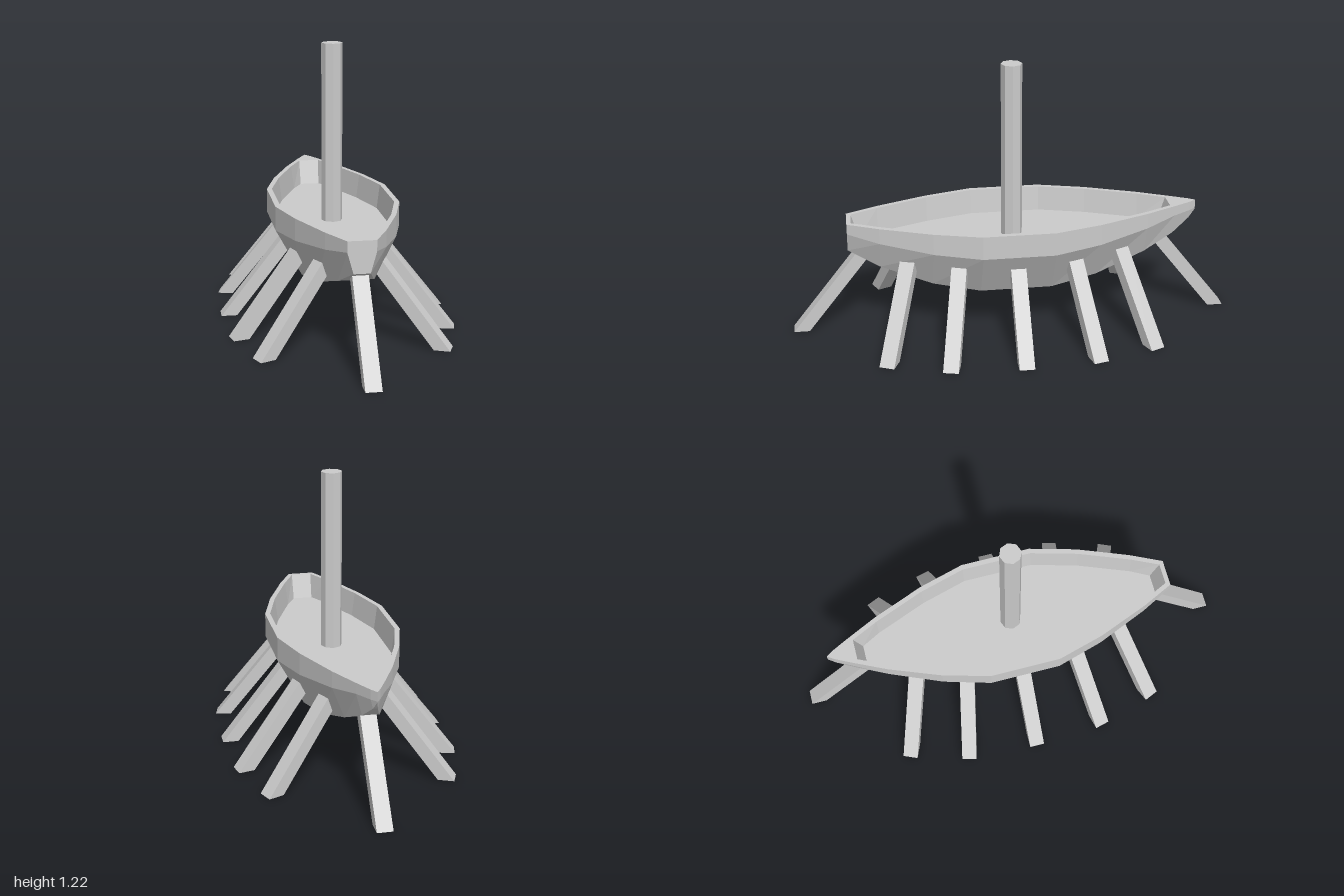
import * as THREE from 'three';

const material = new THREE.MeshStandardMaterial({ color: 0xcccccc, flatShading: true, side: THREE.DoubleSide });

// Hull stations from bow to stern: z, half width, knuckle height, keel height, keel half width
const STATIONS = [
  [-0.85, 0, 0.492, 0.488, 0],
  [-0.82, 0.02, 0.49, 0.45, 0.01],
  [-0.74, 0.06, 0.485, 0.39, 0.035],
  [-0.6, 0.127, 0.46, 0.325, 0.075],
  [-0.37, 0.217, 0.435, 0.25, 0.125],
  [-0.16, 0.275, 0.425, 0.217, 0.16],
  [0.16, 0.275, 0.425, 0.217, 0.16],
  [0.37, 0.217, 0.435, 0.25, 0.125],
  [0.6, 0.127, 0.46, 0.325, 0.075],
  [0.74, 0.06, 0.485, 0.395, 0.035],
];
const RIM = 0.532, FLOOR = 0.42;

function buildMesh(name, polygons) {
  const pos = [];
  for (const p of polygons)
    for (let i = 1; i < p.length - 1; i++) pos.push(...p[0], ...p[i], ...p[i + 1]);
  const geometry = new THREE.BufferGeometry();
  geometry.setAttribute('position', new THREE.Float32BufferAttribute(pos, 3));
  geometry.computeVertexNormals();
  const mesh = new THREE.Mesh(geometry, material);
  mesh.name = name;
  return mesh;
}

// Quads between neighbouring rows of points
function loft(rows) {
  const quads = [];
  for (let i = 0; i < rows.length - 1; i++)
    for (let j = 0; j < rows[i].length - 1; j++)
      quads.push([rows[i][j], rows[i + 1][j], rows[i + 1][j + 1], rows[i][j + 1]]);
  return quads;
}

function createHull() {
  const hull = new THREE.Group();
  hull.name = 'hull';

  // Outer planking with a flat transom and a small deck at the bow
  const outer = STATIONS.map(([z, w, ky, by, bw]) => [
    [w, RIM, z], [w, ky, z], [bw, by, z], [-bw, by, z], [-w, ky, z], [-w, RIM, z],
  ]);
  const last = outer[outer.length - 1];
  const transom = [last[0], last[5], last[4], last[3], last[2], last[1]];
  const bowDeck = loft(outer.slice(0, 3).map((r) => [r[5], r[0]]));
  hull.add(buildMesh('planking', [...loft(outer), transom, ...bowDeck]));

  // Rim, inner walls and floor
  const inner = STATIONS.slice(2).map(([z, w]) => {
    const end = Math.abs(z) > 0.7, s = Math.sign(z);
    const zi = end ? s * 0.72 : z, zf = end ? s * 0.685 : z;
    const wi = end ? 0.047 : w - 0.023, wf = end ? 0.045 : w - 0.037;
    return [[-w, RIM, z], [-wi, RIM, zi], [-wf, FLOOR, zf], [wf, FLOOR, zf], [wi, RIM, zi], [w, RIM, z]];
  });
  const [oL, iL, fL, fR, iR, oR] = inner[0];
  const [pL, jL, gL, gR, jR, pR] = inner[inner.length - 1];
  hull.add(buildMesh('wellAndRim', [
    ...loft(inner),
    [iL, iR, oR, oL], [fL, fR, iR, iL],
    [pL, pR, jR, jL], [gR, gL, jL, jR],
  ]));
  return hull;
}

// Slanted leg with a horizontal foot; x, z mark the middle of the foot's outer edge
function createLeg(name, x, z, degrees) {
  const height = 0.4, depth = 0.07;
  const geometry = new THREE.BoxGeometry(0.068, height, depth);
  geometry.translate(0, height / 2, -depth / 2);
  const p = geometry.attributes.position;
  for (let i = 0; i < p.count; i++) p.setZ(i, p.getZ(i) - 0.785 * p.getY(i));
  geometry.computeVertexNormals();
  const leg = new THREE.Mesh(geometry, material);
  leg.name = name;
  leg.position.set(x, 0, z);
  leg.rotation.y = THREE.MathUtils.degToRad(degrees);
  return leg;
}

export function createModel() {
  const model = new THREE.Group();
  model.name = 'leggedBoat';
  model.add(createHull());

  // Octagonal mast standing on the floor
  const mastHeight = 1.22 - FLOOR;
  const mast = new THREE.Mesh(new THREE.CylinderGeometry(0.047, 0.047, mastHeight, 8), material);
  mast.name = 'mast';
  mast.position.y = FLOOR + mastHeight / 2;
  model.add(mast);

  // One leg at each end, five along each side
  model.add(createLeg('sternLeg', 0, 1, 0), createLeg('bowLeg', 0, -1, 180));
  for (const s of [1, -1]) {
    const side = s > 0 ? 'left' : 'right';
    model.add(createLeg(side + 'MiddleLeg', s * 0.508, 0, s * 90));
    for (const e of [1, -1]) {
      const end = e > 0 ? 'Stern' : 'Bow';
      const turn = (a) => s * (90 - e * a);
      model.add(createLeg(side + end + 'InnerLeg', s * 0.49, e * 0.33, turn(14)));
      model.add(createLeg(side + end + 'OuterLeg', s * 0.41, e * 0.6, turn(23.5)));
    }
  }
  return model;
}
